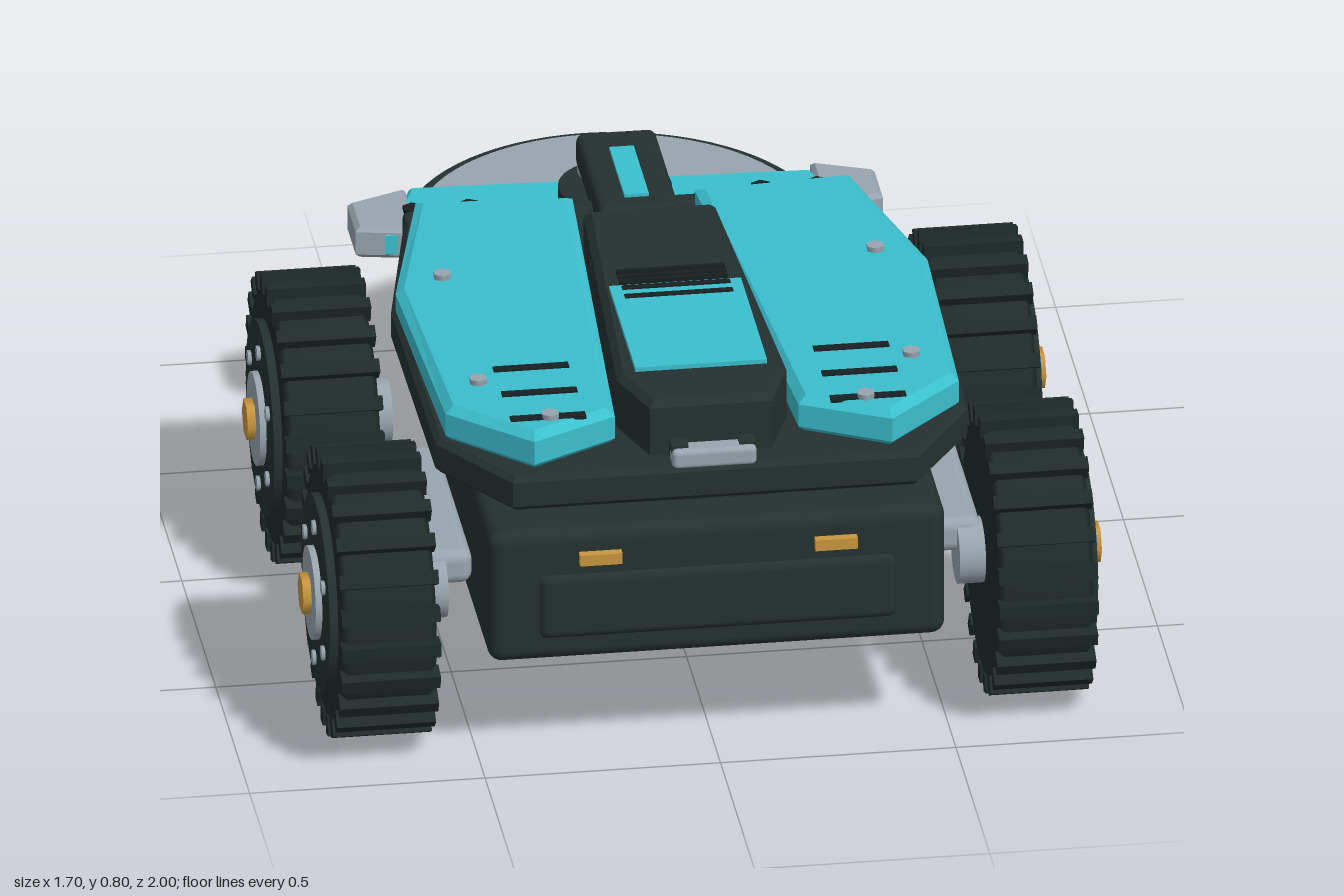
import * as THREE from 'three';
import { RoundedBoxGeometry } from 'three/addons/geometries/RoundedBoxGeometry.js';

const mat = (name, color) => {
  const m = new THREE.MeshStandardMaterial({ color });
  m.name = name;
  return m;
};

export function createModel() {
  const root = new THREE.Group();
  root.name = 'rover';
  const dark = mat('dark shell', 0x243130);
  const tyreMat = mat('tyre rubber', 0x1f2a29);
  const black = mat('black slots', 0x182021);
  const cyan = mat('cyan panels', 0x3bbfce);
  const silver = mat('silver metal', 0x97a4ae);
  const gold = mat('gold fittings', 0xc8963e);

  const add = (name, geo, m, parent = root) => {
    const mesh = new THREE.Mesh(geo, m);
    mesh.name = name;
    parent.add(mesh);
    return mesh;
  };
  // box given by its limits, rounded when r > 0
  const box = (name, m, [x0, x1], [y0, y1], [z0, z1], r = 0, parent = root) => {
    const s = [x1 - x0, y1 - y0, z1 - z0];
    const g = r ? new RoundedBoxGeometry(...s, 3, r) : new THREE.BoxGeometry(...s);
    g.translate((x0 + x1) / 2, (y0 + y1) / 2, (z0 + z1) / 2);
    return add(name, g, m, parent);
  };
  // upright cylinder
  const disc = (name, m, r, y0, y1, x, z, n = 40) => {
    const g = new THREE.CylinderGeometry(r, r, y1 - y0, n);
    g.translate(x, (y0 + y1) / 2, z);
    return add(name, g, m);
  };
  // bevelled slab from an [x, z] outline
  const slabGeo = (pts, y0, y1, b) => {
    const shape = new THREE.Shape(pts.map(([x, z]) => new THREE.Vector2(x, -z)));
    const g = new THREE.ExtrudeGeometry(shape, {
      depth: y1 - y0 - 2 * b, bevelEnabled: true, bevelThickness: b, bevelSize: b, bevelOffset: -b, bevelSegments: 1,
    });
    g.rotateX(-Math.PI / 2);
    return g.translate(0, y0 + b, 0);
  };
  const mirrored = (half) => [...half, ...half.map(([x, z]) => [-x, z]).reverse()];

  // main body with front panel and lights
  box('body', dark, [-0.485, 0.485], [0.245, 0.55], [0.24, 0.96], 0.03);
  box('frontPanel', dark, [-0.38, 0.38], [0.3, 0.45], [0.93, 0.972], 0.02);
  box('bodyPedestal', dark, [-0.12, 0.12], [0.53, 0.6], [0.3, 0.85]);

  // deck plate
  add('deck', slabGeo(mirrored([[0.48, -0.325], [0.57, 0.1], [0.565, 0.72], [0.43, 0.925]]), 0.585, 0.665, 0.012), dark);
  box('deckRearBar', dark, [-0.485, 0.485], [0.595, 0.672], [-0.33, -0.29], 0.012);

  // central spine with inset plate and vents
  add('spine', slabGeo(mirrored([[0.14, -0.05], [0.18, 0.72], [0.13, 0.86]]), 0.65, 0.79, 0.015), dark);
  box('spinePlate', cyan, [-0.14, 0.14], [0.785, 0.8], [0.33, 0.715]);
  for (const z of [0.345, 0.385]) box('spineSlot', black, [-0.115, 0.115], [0.795, 0.803], [z - 0.008, z + 0.008]);
  for (const z of [0.26, 0.285, 0.305]) box('spineRib', black, [-0.115, 0.115], [0.785, 0.8], [z - 0.005, z + 0.005]);
  box('latch', silver, [-0.09, 0.09], [0.655, 0.7], [0.87, 0.92], 0.012);
  for (const s of [-1, 1]) box('latchHinge', dark, [s * 0.072 - 0.018, s * 0.072 + 0.018], [0.66, 0.705], [0.865, 0.905]);

  // upper side panels, thinner toward the rear
  const thin = (z) => 1 - 0.45 * (0.9 - z) / 1.2;
  const topY = (z) => 0.66 + 0.09 * thin(z);
  for (const s of [-1, 1]) {
    const outline = [[0.46, -0.305], [0.13, -0.28], [0.195, 0.795], [0.38, 0.895], [0.545, 0.73], [0.565, 0.13]];
    const g = slabGeo(outline.map(([x, z]) => [s * x, z]), 0.66, 0.75, 0.018);
    const p = g.attributes.position;
    for (let i = 0; i < p.count; i++) p.setY(i, 0.66 + (p.getY(i) - 0.66) * thin(p.getZ(i)));
    g.computeVertexNormals();
    add('sidePanel', g, cyan);
    for (const z of [0.565, 0.69, 0.815]) {
      const y = topY(z);
      box('panelSlot', black, [s * 0.34 - 0.08, s * 0.34 + 0.08], [y - 0.004, y + 0.004], [z - 0.011, z + 0.011]);
    }
    for (const [x, z] of [[0.46, 0.09], [0.46, 0.62], [0.335, 0.815]])
      disc('panelBolt', silver, 0.02, topY(z) - 0.01, topY(z) + 0.012, s * x, z, 6);
    box('frontLight', gold, [s * 0.25 - 0.045, s * 0.25 + 0.045], [0.475, 0.5], [0.95, 0.98]);
    box('sideRail', silver, [s * 0.54 - 0.055, s * 0.54 + 0.055], [0.315, 0.393], [0.2, 0.72], 0.025);
  }

  // rear boom carrying the disc
  const cz = -0.555;
  box('boom', dark, [-0.085, 0.085], [0.64, 0.717], [-0.555, -0.185], 0.018);
  box('boomStripe', cyan, [-0.026, 0.026], [0.715, 0.724], [-0.46, -0.235]);
  disc('discRim', dark, 0.445, 0.38, 0.485, 0, cz, 72);
  disc('discFace', silver, 0.42, 0.48, 0.494, 0, cz, 72);
  disc('spindleBase', dark, 0.12, 0.54, 0.585, 0, cz);
  disc('spindleRing', gold, 0.065, 0.58, 0.6, 0, cz);
  disc('spindleNeck', silver, 0.05, 0.59, 0.63, 0, cz);
  disc('spindleCap', silver, 0.08, 0.62, 0.67, 0, cz);

  // cross bar with silver tips
  add('crossBar', slabGeo([[-0.42, -0.68], [0.43, -0.645], [0.46, -0.55], [0.4, -0.42], [-0.5, -0.475], [-0.45, -0.6]], 0.488, 0.55, 0.01), cyan);
  for (const s of [-1, 1]) {
    add('barTip', slabGeo([[0.43, -0.665], [0.56, -0.615], [0.56, -0.49], [0.43, -0.465]].map(([x, z]) => [s * x, z]), 0.484, 0.556, 0.01), silver);
    for (const x of [0.31, 0.43]) disc('barBolt', black, 0.023, 0.54, 0.566, s * x, -0.55, 6);
  }

  // wheels, built with the axle along +x
  const makeWheel = () => {
    const w = new THREE.Group();
    w.name = 'wheel';
    const lathe = (name, m, pts, n = 48) => {
      const g = new THREE.LatheGeometry(pts.map(([r, x]) => new THREE.Vector2(r, x)), n);
      return add(name, g.toNonIndexed().rotateZ(-Math.PI / 2), m, w);
    };
    const drum = (name, m, r, x0, x1, n = 40, y = 0, z = 0) => {
      const g = new THREE.CylinderGeometry(r, r, x1 - x0, n).rotateZ(-Math.PI / 2);
      return add(name, g.translate((x0 + x1) / 2, y, z), m, w);
    };
    lathe('tyre', tyreMat, [[0, -0.1], [0.27, -0.1], [0.285, -0.088], [0.285, 0.088], [0.27, 0.1], [0, 0.1]]);
    for (let i = 0; i < 24; i++) {
      const g = new THREE.BoxGeometry(0.21, 0.04, 0.03).translate(0, 0.288, 0);
      add('tread', g.rotateX((i / 24) * Math.PI * 2), tyreMat, w);
    }
    drum('wheelPlate', dark, 0.21, 0.09, 0.118, 48);
    drum('hub', silver, 0.1, 0.11, 0.132);
    drum('hubNut', gold, 0.044, 0.12, 0.15, 6);
    drum('innerHub', silver, 0.07, -0.155, -0.09);
    for (let i = 0; i < 6; i++) {
      const a = (i / 6) * Math.PI * 2;
      drum('wheelBolt', silver, 0.016, 0.11, 0.126, 6, 0.153 * Math.cos(a), 0.153 * Math.sin(a));
    }
    return w;
  };
  for (const z of [0.695, -0.125])
    for (const s of [-1, 1]) {
      const w = makeWheel();
      w.position.set(s * 0.698, 0.31, z);
      if (s < 0) w.rotation.y = Math.PI;
      root.add(w);
    }
  return root;
}
